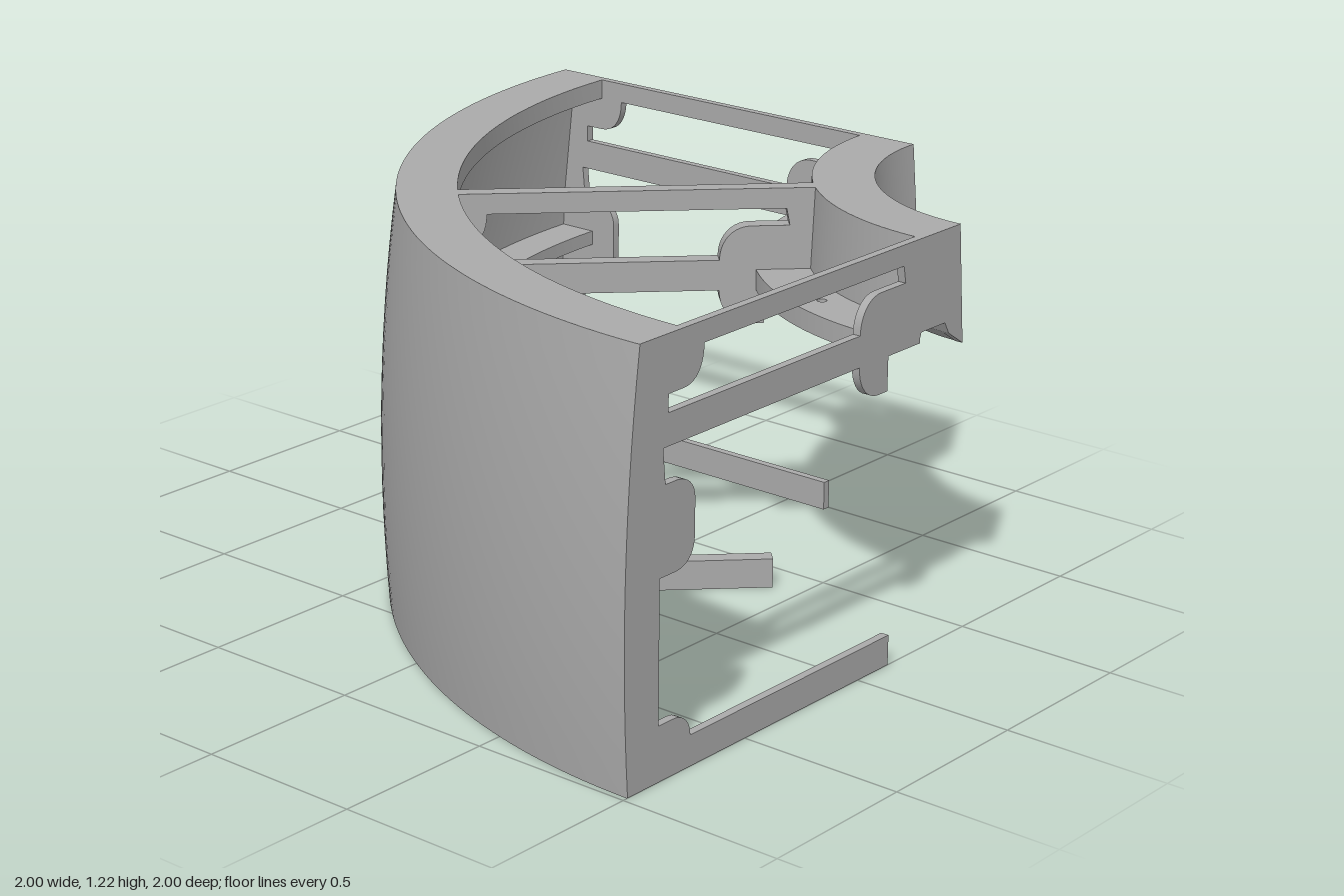
import * as THREE from 'three';
import { toCreasedNormals } from 'three/addons/utils/BufferGeometryUtils.js';

const grey = new THREE.MeshStandardMaterial({ color: 0xaaaaaa });
grey.name = 'plain grey';

const H = 1.22;
const QUARTER = Math.PI / 2;

// radius of the gently barrelled outer skin at height y
const skin = (y) => 2 - 0.086 * (y - 0.42) ** 2;
const skinPoints = (inset, n = 14) =>
  Array.from({ length: n + 1 }, (_, i) => [skin((H * i) / n) - inset, (H * i) / n]);

function part(name, geometry) {
  const mesh = new THREE.Mesh(geometry, grey);
  mesh.name = name;
  return mesh;
}

// quarter turn of a closed, counter-clockwise (radius, height) profile
function quarterLathe(name, profile) {
  const points = [...profile, profile[0]].map(([r, y]) => new THREE.Vector2(r, y));
  const geometry = new THREE.LatheGeometry(points, 64, -QUARTER, QUARTER);
  return part(name, toCreasedNormals(geometry, 0.4));
}

// flat quarter ring with two screw holes
function quarterFlange(name, inner, outer, y, height, holeRadius, holeSize) {
  const shape = new THREE.Shape();
  shape.absarc(0, 0, outer, Math.PI, Math.PI * 1.5, false);
  shape.absarc(0, 0, inner, Math.PI * 1.5, Math.PI, true);
  shape.closePath();
  for (const k of [1, 3]) {
    const a = Math.PI + (k * Math.PI) / 8;
    const hole = new THREE.Path();
    hole.absarc(Math.cos(a) * holeRadius, Math.sin(a) * holeRadius, holeSize, 0, Math.PI * 2, true);
    shape.holes.push(hole);
  }
  const geometry = new THREE.ExtrudeGeometry(shape, { depth: height, bevelEnabled: false, curveSegments: 48 });
  geometry.rotateX(-Math.PI / 2).translate(0, y, 0);
  return part(name, toCreasedNormals(geometry, 0.4));
}

// open frame rib, drawn in (radius, height)
function ribShape() {
  const s = new THREE.Shape();
  s.moveTo(0.86, 0);
  skinPoints(0.002).forEach(([r, y]) => s.lineTo(r, y));
  // hub end and its groove
  [[0.582, H], [0.552, 0.87], [0.62, 0.915], [0.64, 0.95], [0.75, 0.95], [0.76, 0.92],
    [0.9, 0.92], [0.9, 0.82], [0.94, 0.82]].forEach(([r, y]) => s.lineTo(r, y));
  // rounded lug under the cross bar
  s.bezierCurveTo(0.99, 0.82, 1.03, 0.86, 1.03, 0.92);
  s.lineTo(1.85, 0.92);
  s.lineTo(1.84, 0.82);
  // rounded boss at the middle of the wall
  s.lineTo(1.8, 0.82);
  s.bezierCurveTo(1.75, 0.82, 1.72, 0.79, 1.72, 0.75);
  s.lineTo(1.72, 0.65);
  s.bezierCurveTo(1.72, 0.6, 1.75, 0.57, 1.8, 0.57);
  s.lineTo(1.86, 0.57);
  s.lineTo(1.86, 0.16);
  // rounded boss at the foot, then the lower bar
  s.lineTo(1.8, 0.16);
  s.bezierCurveTo(1.76, 0.16, 1.73, 0.13, 1.73, 0.09);
  s.lineTo(0.86, 0.09);
  s.closePath();

  // window between the top bar and the cross bar
  const w = new THREE.Path();
  w.moveTo(1.83, 1.01);
  w.lineTo(1.83, 1.06);
  w.lineTo(1.77, 1.06);
  w.bezierCurveTo(1.72, 1.06, 1.69, 1.1, 1.69, 1.16);
  w.lineTo(0.84, 1.16);
  w.lineTo(0.83, 1.11);
  w.lineTo(0.94, 1.11);
  w.bezierCurveTo(0.99, 1.11, 1.03, 1.07, 1.03, 1.01);
  w.closePath();
  s.holes.push(w);
  return s;
}

function rib(name, angle, from, to) {
  const geometry = new THREE.ExtrudeGeometry(ribShape(), { depth: to - from, bevelEnabled: false, curveSegments: 10 });
  geometry.translate(0, 0, from);
  const mesh = part(name, toCreasedNormals(geometry, 0.4));
  mesh.rotation.y = -QUARTER - angle;
  return mesh;
}

export function createModel() {
  const model = new THREE.Group();
  model.name = 'quarterRingHousing';

  // everything turns about the corner at the back left
  const body = new THREE.Group();
  body.name = 'housing';
  body.position.set(1, 0, -1);
  model.add(body);

  // outer wall with its top rim
  body.add(quarterLathe('outerWall', [
    ...skinPoints(0), [1.77, H], [1.77, 1.16], [1.89, 1.16], [1.93, 0.8], [1.94, 0.42], [1.925, 0],
  ]));
  // stiffening ring halfway up the wall
  body.add(quarterLathe('middleRing', [[1.81, 0.67], [1.95, 0.67], [1.95, 0.715], [1.81, 0.715]]));
  // foot ring with screw holes
  body.add(quarterFlange('footRing', 1.79, 1.95, 0, 0.06, 1.86, 0.014));

  // inner hub, grooved underneath, and its flange
  body.add(quarterLathe('hub', [
    [0.55, 0.87], [0.62, 0.915], [0.64, 0.95], [0.77, 0.95], [0.76, H], [0.58, H],
  ]));
  body.add(quarterFlange('hubFlange', 0.755, 0.925, 0.92, 0.06, 0.84, 0.014));

  // frame ribs: half thickness on both cut faces, full in the middle
  body.add(rib('leftRib', 0, 0, 0.025));
  body.add(rib('middleRib', Math.PI / 4, -0.025, 0.025));
  body.add(rib('backRib', QUARTER, -0.025, 0));

  return model;
}
